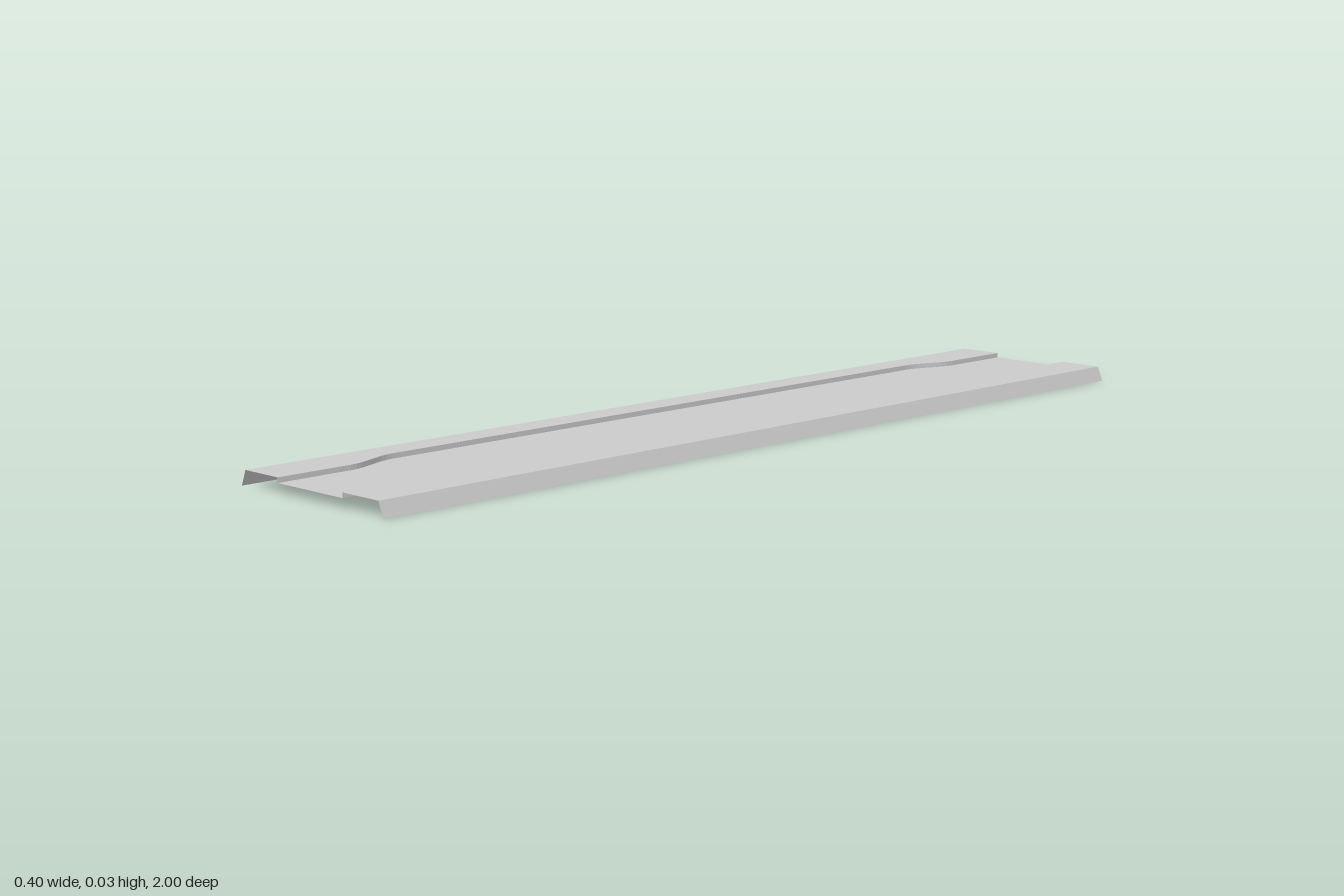
import * as THREE from 'three';

const TOP = 0.03, FLOOR = 0.02;

// Stations along the length, dense only where the channel edge bends
const bend = Array.from({ length: 9 }, (_, i) => 0.72 + i * 0.015);
const stations = [-1, ...bend.map(z => -z).reverse(), ...bend, 1];

// The right channel edge swings outward between the two bends
const curvedEdge = z => -0.125 + 0.032 * THREE.MathUtils.smoothstep(Math.abs(z), 0.72, 0.84);

// An edge running lengthwise: x may be a number or a function of z
const edge = (x, y) => z => [typeof x === 'function' ? x(z) : x, y, z];

export function createModel() {
  const group = new THREE.Group();
  group.name = 'sheetPanel';
  const material = new THREE.MeshStandardMaterial({
    color: 0xcccccc, flatShading: true, side: THREE.DoubleSide,
  });

  // Cross-section of the folded sheet, from -x to +x
  const edges = [
    edge(-0.2, 0), edge(-0.188, TOP), edge(curvedEdge, TOP), edge(curvedEdge, FLOOR),
    edge(0.09, FLOOR), edge(0.09, TOP), edge(0.188, TOP), edge(0.2, 0),
  ];
  const names = ['rightLip', 'rightFlange', 'curvedStep', 'channelFloor',
    'straightStep', 'leftFlange', 'leftLip'];

  // One strip between each pair of neighbouring edges
  names.forEach((name, i) => {
    const a = edges[i], b = edges[i + 1], positions = [];
    for (let s = 0; s < stations.length - 1; s++) {
      const z0 = stations[s], z1 = stations[s + 1];
      positions.push(...a(z0), ...a(z1), ...b(z1), ...a(z0), ...b(z1), ...b(z0));
    }
    const geometry = new THREE.BufferGeometry();
    geometry.setAttribute('position', new THREE.Float32BufferAttribute(positions, 3));
    geometry.computeVertexNormals();
    const mesh = new THREE.Mesh(geometry, material);
    mesh.name = name;
    group.add(mesh);
  });
  return group;
}
